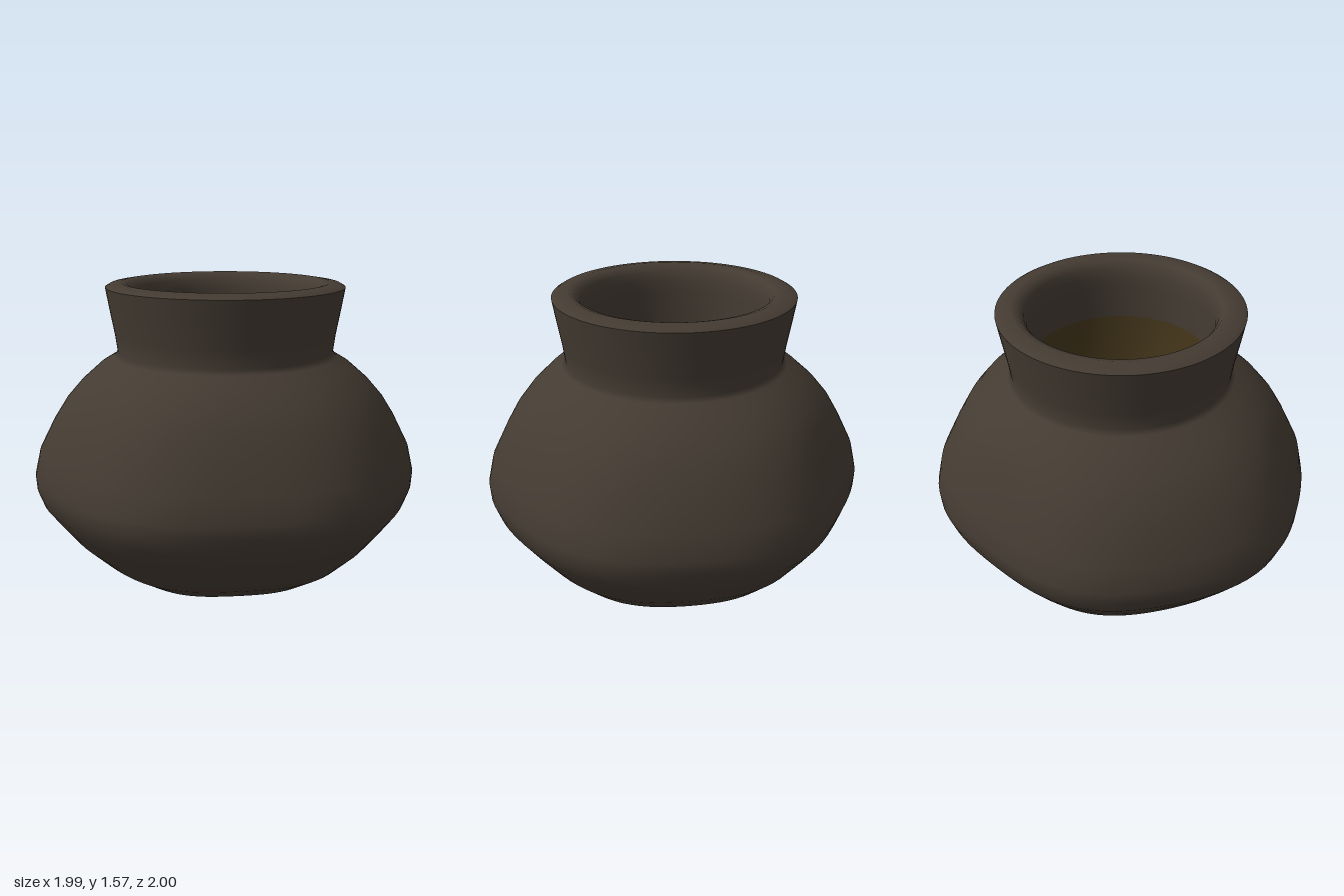
import * as THREE from 'three';
import { mergeVertices } from 'three/addons/utils/BufferGeometryUtils.js';

const SEGMENTS = 96;

// Uneven, hand-shaped outline of the belly as a factor on the radius
function lobes(a) {
  return 0.985 + 0.019 * Math.sin(2 * a) + 0.006 * Math.cos(4 * a)
    - 0.015 * Math.sin(6 * a) - 0.003 * Math.cos(6 * a);
}

// Revolves a profile of [radius, height], then pushes the belly out of round
function turned(name, profile, color) {
  const points = profile.map(([r, y]) => new THREE.Vector2(r, y));
  let geometry = new THREE.LatheGeometry(points, SEGMENTS);
  geometry.deleteAttribute('uv');
  geometry.deleteAttribute('normal');
  const pos = geometry.attributes.position;
  for (let i = 0; i < pos.count; i++) {
    const x = pos.getX(i), y = pos.getY(i), z = pos.getZ(i);
    const roundness = THREE.MathUtils.smoothstep(y, 0.8, 1.2);
    const k = THREE.MathUtils.lerp(lobes(Math.atan2(z, x)), 1, roundness);
    pos.setXYZ(i, x * k, y, z * k);
  }
  geometry = mergeVertices(geometry, 1e-4);
  geometry.computeVertexNormals();
  const mesh = new THREE.Mesh(geometry, new THREE.MeshStandardMaterial({ color }));
  mesh.name = name;
  return mesh;
}

export function createModel() {
  const pot = new THREE.Group();
  pot.name = 'pot';
  const clay = 0x443b32;

  // Outside: base, belly, shoulder and flaring neck
  pot.add(turned('body', [
    [0, 0], [0.37, 0.004], [0.56, 0.035], [0.7, 0.12], [0.815, 0.225],
    [0.905, 0.335], [0.97, 0.42], [1.0, 0.5], [1.005, 0.57], [0.975, 0.7],
    [0.895, 0.86], [0.835, 0.96], [0.76, 1.05], [0.66, 1.14], [0.585, 1.185],
    [0.566, 1.21], [0.578, 1.3], [0.602, 1.43], [0.622, 1.545],
  ], clay));

  // Lip rolling over into the throat
  pot.add(turned('lip', [
    [0.622, 1.545], [0.6, 1.558], [0.54, 1.568], [0.505, 1.557], [0.482, 1.528],
    [0.469, 1.48], [0.466, 1.42], [0.465, 1.32], [0.464, 1.24],
  ], clay));

  // Deep hollow tapering towards the bottom
  pot.add(turned('interior', [
    [0.464, 1.24], [0.458, 1.1], [0.44, 0.92], [0.39, 0.7], [0.3, 0.47],
    [0.17, 0.28], [0, 0.2],
  ], 0x43351a));

  return pot;
}
